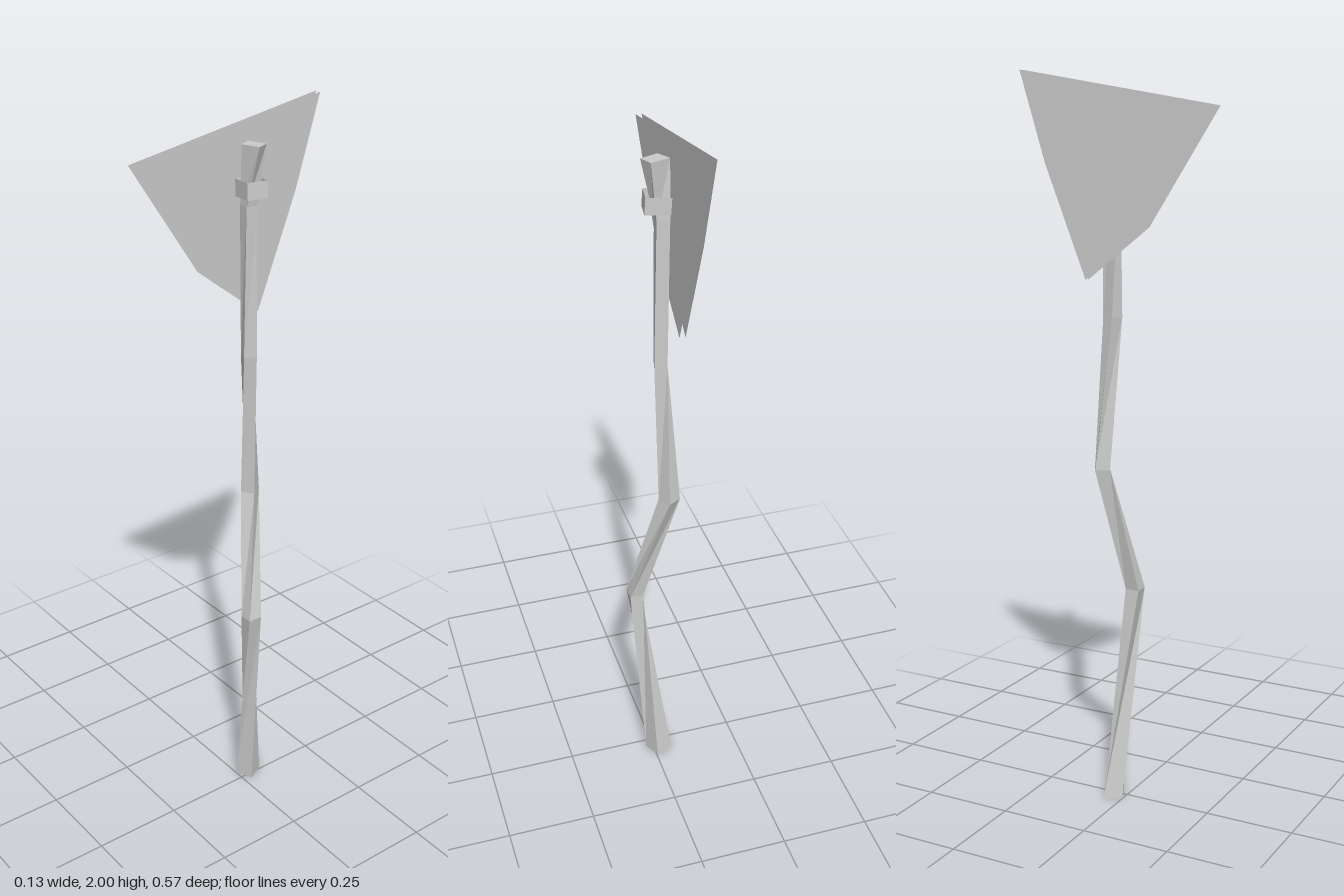
import * as THREE from 'three';

const material = new THREE.MeshStandardMaterial({ color: 0xcccccc, flatShading: true, side: THREE.DoubleSide });

function addMesh(group, name, geometry) {
  const mesh = new THREE.Mesh(geometry, material);
  mesh.name = name;
  group.add(mesh);
  return mesh;
}

// Four-cornered sections joined into a capped, faceted bar.
// Each section is { y, corners: [[x, z] x 4] }, corners running front-left, front-right, back-right, back-left.
function loftBar(sections) {
  const positions = [];
  const index = [];
  for (const { y, corners } of sections) for (const [x, z] of corners) positions.push(x, y, z);
  for (let s = 0; s < sections.length - 1; s++) {
    for (let i = 0; i < 4; i++) {
      const a = s * 4 + i;
      const b = s * 4 + (i + 1) % 4;
      index.push(a, b, b + 4, a, b + 4, a + 4);
    }
  }
  const top = (sections.length - 1) * 4;
  index.push(0, 2, 1, 0, 3, 2, top, top + 1, top + 2, top, top + 2, top + 3);
  const geometry = new THREE.BufferGeometry();
  geometry.setAttribute('position', new THREE.Float32BufferAttribute(positions, 3));
  geometry.setIndex(index);
  const flat = geometry.toNonIndexed();
  flat.computeVertexNormals();
  return flat;
}

export function createModel() {
  const group = new THREE.Group();
  group.name = 'axe';

  // Crooked, twisting branch handle
  addMesh(group, 'handle', loftBar([
    { y: 0, corners: [[-0.053, -0.048], [-0.03, 0], [0.02, -0.022], [-0.003, -0.07]] },
    { y: 0.6, corners: [[0.027, 0.021], [0.065, 0.021], [0.065, -0.019], [0.027, -0.019]] },
    { y: 0.95, corners: [[-0.042, -0.03], [-0.008, -0.05], [-0.03, -0.083], [-0.064, -0.064]] },
    { y: 1.36, corners: [[-0.005, -0.012], [0.004, -0.047], [-0.028, -0.057], [-0.037, -0.026]] },
    { y: 1.76, corners: [[-0.003, -0.018], [0, -0.05], [-0.033, -0.054], [-0.035, -0.022]] },
    { y: 1.915, corners: [[0.034, -0.029], [0.018, -0.0625], [-0.034, -0.046], [-0.014, -0.011]] },
  ]));

  // Blade: two thin parallel sheets beside the handle
  const outline = [[0.285, 1.9], [-0.285, 2], [-0.21, 1.76], [-0.09, 1.46], [0.09, 1.6]];
  const shape = new THREE.Shape(outline.map(([z, y]) => new THREE.Vector2(-z, y)));
  for (const [name, x] of [['bladeInner', -0.048], ['bladeOuter', -0.064]]) {
    const sheet = addMesh(group, name, new THREE.ShapeGeometry(shape));
    sheet.rotation.y = Math.PI / 2;
    sheet.position.x = x;
  }

  // Open four-sided binding round the handle
  const band = new THREE.CylinderGeometry(Math.SQRT1_2, Math.SQRT1_2, 1, 4, 1, true);
  band.rotateY(Math.PI / 4);
  band.scale(0.064, 0.044, 0.057);
  const binding = addMesh(group, 'binding', band);
  binding.position.set(-0.005, 1.805, -0.035);
  binding.rotation.set(0, -0.17, 0.06);

  return group;
}
